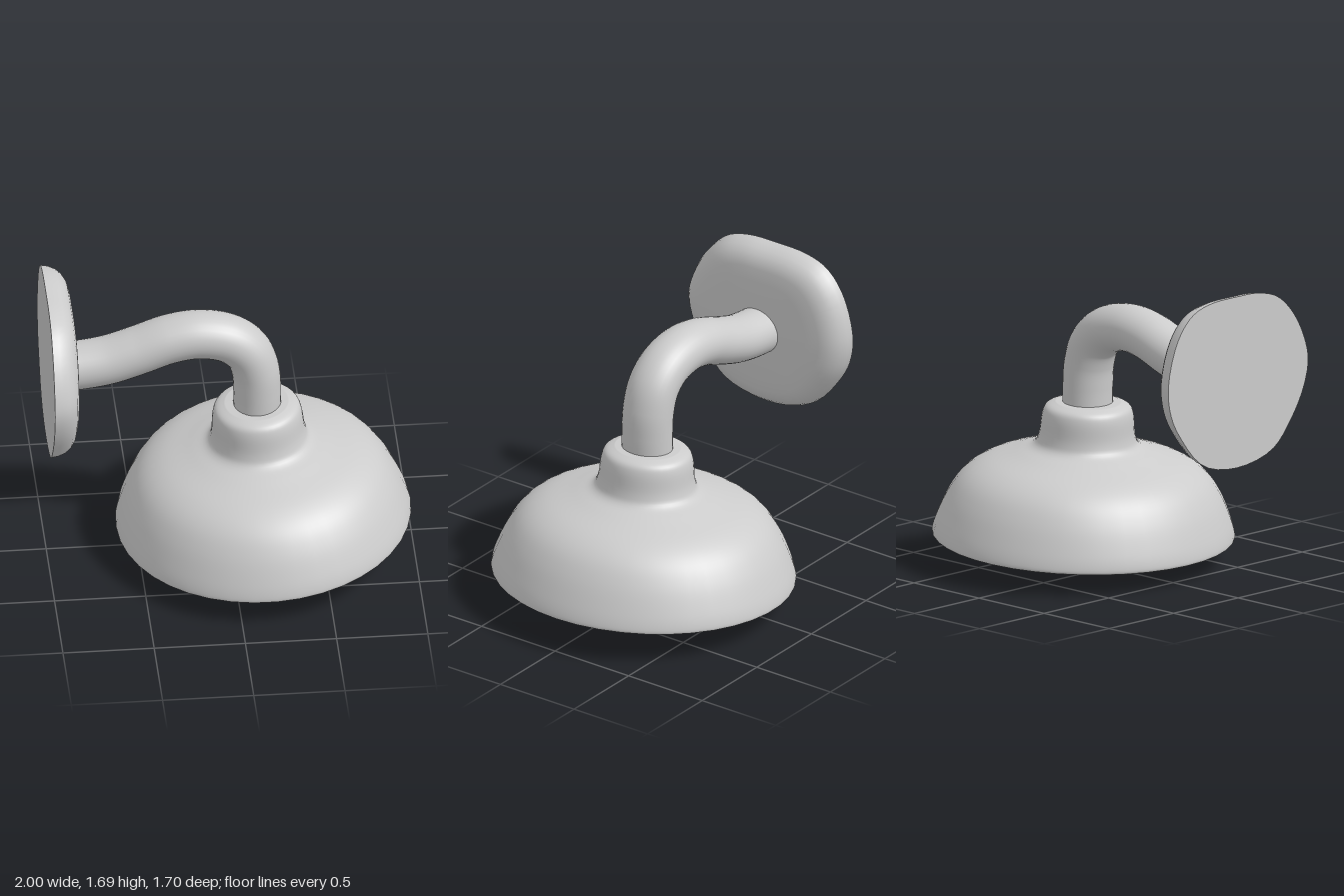
import * as THREE from 'three';
import { toCreasedNormals } from 'three/addons/utils/BufferGeometryUtils.js';

const v2 = (pairs) => pairs.map(([x, y]) => new THREE.Vector2(x, y));
const smooth = (pairs, n) => new THREE.SplineCurve(v2(pairs)).getPoints(n);

function part(name, geometry, material) {
  const mesh = new THREE.Mesh(geometry, material);
  mesh.name = name;
  return mesh;
}

// Wall plate: an egg-like outline in the zy plane, lofted along x and domed at the front
function wallPlateGeometry() {
  const outline = [
    [0, 1.69], [0.16, 1.683], [0.31, 1.636], [0.44, 1.51], [0.525, 1.34], [0.542, 1.23],
    [0.5, 1.08], [0.4, 0.92], [0.27, 0.79], [0, 0.73], [-0.27, 0.785], [-0.45, 0.977],
    [-0.52, 1.11], [-0.54, 1.27], [-0.47, 1.51], [-0.36, 1.636], [-0.22, 1.683],
  ].map(([z, y]) => new THREE.Vector3(0, y, z));
  const n = 64;
  const ring = new THREE.CatmullRomCurve3(outline, true).getPoints(n).slice(0, n);
  const centreY = 1.21;
  // [x, scale of the outline]
  const sections = [[-1, 0], [-1, 1], [-0.96, 0.988], [-0.92, 0.955], [-0.89, 0.905],
    [-0.868, 0.84], [-0.856, 0.76], [-0.848, 0.6], [-0.842, 0.3], [-0.84, 0]];
  const positions = [];
  const index = [];
  sections.forEach(([x, s]) => ring.forEach((p) =>
    positions.push(x, centreY + (p.y - centreY) * s, p.z * s)));
  for (let i = 0; i < sections.length - 1; i++) {
    for (let j = 0; j < n; j++) {
      const a = i * n + j;
      const b = i * n + ((j + 1) % n);
      if (i > 0) index.push(a, b, a + n);
      if (i < sections.length - 2) index.push(b, b + n, a + n);
    }
  }
  const geometry = new THREE.BufferGeometry();
  geometry.setAttribute('position', new THREE.Float32BufferAttribute(positions, 3));
  geometry.setIndex(index);
  return toCreasedNormals(geometry, 0.8);
}

export function createModel() {
  const grey = new THREE.MeshStandardMaterial({ color: 0xcccccc });
  const doubleGrey = new THREE.MeshStandardMaterial({ color: 0xcccccc, side: THREE.DoubleSide });
  const model = new THREE.Group();
  model.name = 'wallLamp';

  model.add(part('wallPlate', wallPlateGeometry(), doubleGrey));

  // Swan-neck arm, slightly wider in z than in height
  const armPath = new THREE.CatmullRomCurve3([
    [-0.88, 1.205], [-0.8, 1.212], [-0.66, 1.235], [-0.5, 1.287], [-0.32, 1.352], [-0.16, 1.372],
    [0, 1.335], [0.1, 1.25], [0.145, 1.13], [0.156, 1.0], [0.156, 0.86],
  ].map(([x, y]) => new THREE.Vector3(x, y, 0)));
  const arm = part('arm', new THREE.TubeGeometry(armPath, 64, 0.131, 32), grey);
  arm.scale.z = 1.11;
  model.add(arm);

  // Shade and bulb share one tilted axis
  const lamp = new THREE.Group();
  lamp.name = 'lampHead';
  lamp.position.set(0.19, 0.155, 0);
  lamp.rotation.z = 0.05;
  lamp.scale.x = 0.953;
  model.add(lamp);

  // Shade profile: inside from the top down, round the rim, then outside up to the collar
  const inside = smooth([[0.19, 0.7], [0.225, 0.66], [0.232, 0.56], [0.265, 0.475], [0.37, 0.435],
    [0.55, 0.375], [0.66, 0.305], [0.735, 0.2], [0.79, 0.09], [0.815, 0.01]], 40);
  const outside = smooth([[0.835, -0.006], [0.848, 0.012], [0.825, 0.095], [0.765, 0.23], [0.686, 0.338],
    [0.573, 0.412], [0.4, 0.472], [0.3, 0.51], [0.27, 0.57], [0.257, 0.68], [0.235, 0.73], [0.18, 0.753]], 56);
  const profile = [...v2([[0, 0.71]]), ...inside, ...outside, ...v2([[0, 0.756]])];
  lamp.add(part('shade', new THREE.LatheGeometry(profile, 40), doubleGrey));

  // Bulb: a round globe running up into a narrow neck
  const globe = [];
  for (let i = 0; i <= 20; i++) {
    const a = (i / 20) * 2.45;
    globe.push(new THREE.Vector2(0.27 * Math.sin(a), 0.113 - 0.27 * Math.cos(a)));
  }
  const neck = smooth([[0.145, 0.355], [0.13, 0.41], [0.13, 0.5], [0.14, 0.6], [0.14, 0.72]], 16);
  lamp.add(part('bulb', new THREE.LatheGeometry([...globe, ...neck], 32), grey));

  return model;
}
